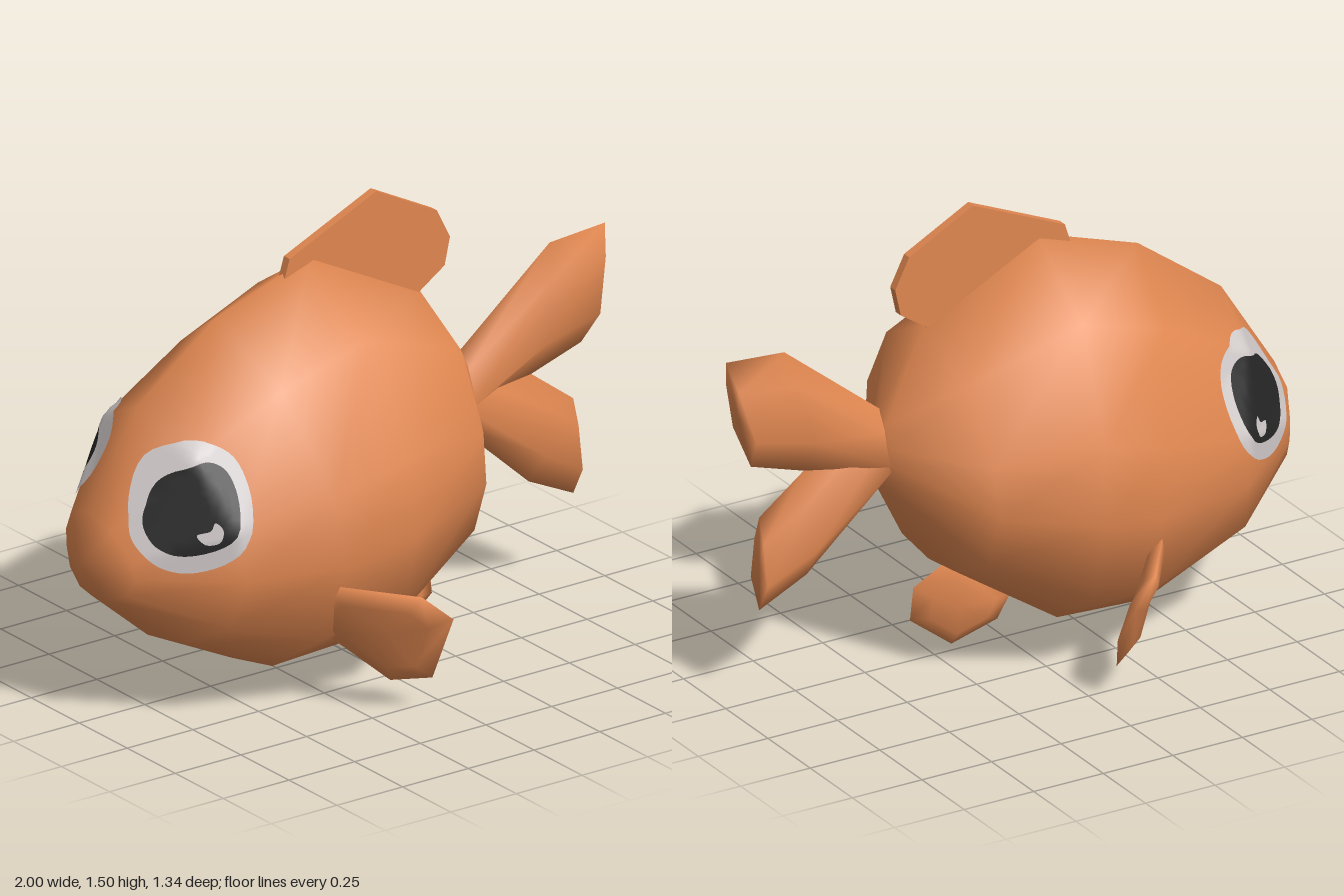
import * as THREE from 'three';
import { mergeVertices } from 'three/addons/utils/BufferGeometryUtils.js';

const material = (name, color) => {
  const m = new THREE.MeshStandardMaterial({ color });
  m.name = name;
  return m;
};

// Smooth indexed geometry from Vector3 points and triangle indices
function smoothGeometry(points, index) {
  let g = new THREE.BufferGeometry().setFromPoints(points);
  g.setIndex(index);
  g = mergeVertices(g, 1e-5);
  g.computeVertexNormals();
  return g;
}

// Loft along +x. Profile: [width fraction, height fraction] from top to bottom.
// Section: [top x, top y, bottom x, bottom y, side x, half width].
function loft(sections, profile) {
  const ring = [...profile, ...profile.slice(1, -1).reverse().map(([z, f]) => [-z, f])];
  const n = ring.length, points = [], index = [];
  sections.forEach(([xt, yt, xb, yb, xs, w], i) => {
    for (const [z, f] of ring) {
      const x = xb + (xt - xb) * f + (xs - (xt + xb) / 2) * z * z;
      points.push(new THREE.Vector3(x, yb + (yt - yb) * f, z * w));
    }
    if (i === 0) return;
    for (let j = 0; j < n; j++) {
      const a = (i - 1) * n + j, b = (i - 1) * n + (j + 1) % n;
      index.push(a, b, a + n, b, b + n, a + n);
    }
  });
  return smoothGeometry(points, index);
}

// Lens-shaped fin: a sharp rim with a raised inner loop on both faces
function lensFin(coords, thickness) {
  const rim = coords.map(p => new THREE.Vector3(...p)), n = rim.length;
  const centre = rim.reduce((s, p) => s.add(p), new THREE.Vector3()).divideScalar(n);
  const normal = new THREE.Vector3();
  rim.forEach((p, i) => normal.add(
    p.clone().sub(centre).cross(rim[(i + 1) % n].clone().sub(centre))));
  normal.normalize();
  const points = [...rim], index = [];
  for (const s of [1, -1]) {
    const start = points.length;
    rim.forEach(p => points.push(p.clone().lerp(centre, 0.35).addScaledVector(normal, s * thickness)));
    points.push(centre.clone().addScaledVector(normal, s * thickness));
    for (let i = 0; i < n; i++) {
      const j = (i + 1) % n, a = start + i, b = start + j;
      const tris = [[i, j, b], [i, b, a], [a, b, start + n]];
      tris.forEach(t => index.push(...(s > 0 ? t : t.reverse())));
    }
  }
  return smoothGeometry(points, index);
}

// Closed smooth outline sampled in the x-y plane
const outline = pts => new THREE.CatmullRomCurve3(
  pts.map(([x, y]) => new THREE.Vector3(x, y, 0)), true).getPoints(48).slice(0, 48);

// Thin patch between two outlines, laid onto the body from one side
function surfacePatch(body, outer, inner, side, lift) {
  const n = outer.length, steps = 6, points = [], index = [];
  const centre = outer.reduce((s, p) => s.add(p), new THREE.Vector3()).divideScalar(n);
  const ray = new THREE.Raycaster();
  for (let k = 0; k <= steps; k++) {
    for (let i = 0; i < n; i++) {
      const p = (inner ? inner[i] : centre).clone().lerp(outer[i], k / steps);
      p.z = 2 * side;
      ray.set(p, new THREE.Vector3(0, 0, -side));
      const hit = ray.intersectObject(body)[0];
      if (hit) p.copy(hit.point).addScaledVector(hit.face.normal, lift);
      else p.z = 0;
      points.push(p);
      if (k === 0) continue;
      const j = (i + 1) % n, a = (k - 1) * n + i, b = (k - 1) * n + j;
      const tris = [[a, a + n, b + n], [a, b + n, b]];
      tris.forEach(t => index.push(...(side > 0 ? t : t.reverse())));
    }
  }
  return smoothGeometry(points, index);
}

export function createModel() {
  const group = new THREE.Group();
  const orange = material('orange scales', 0xe08750);
  const white = material('eye white', 0xd0cac9);
  const black = material('pupil black', 0x262626);
  const add = (name, geometry, mat) => {
    const mesh = new THREE.Mesh(geometry, mat);
    mesh.name = name;
    group.add(mesh);
    return mesh;
  };

  // Body, nose to tail root
  const body = add('body', loft([
    [-1, 0.53, -1, 0.53, -1, 0],
    [-0.97, 0.70, -0.95, 0.41, -0.92, 0.18],
    [-0.78, 1.00, -0.74, 0.23, -0.65, 0.39],
    [-0.48, 1.22, -0.42, 0.075, -0.31, 0.44],
    [-0.12, 1.34, -0.07, 0.10, -0.08, 0.49],
    [0.29, 1.13, 0.27, 0.33, 0.26, 0.40],
    [0.45, 0.88, 0.45, 0.63, 0.45, 0.07],
    [0.47, 0.76, 0.47, 0.76, 0.47, 0],
  ], [[0, 1], [0.59, 0.847], [0.94, 0.565], [1, 0.363], [0.84, 0.145], [0.41, 0.024], [0, 0]]), orange);

  // Forked tail
  const lobeProfile = [[0, 1], [0.55, 0.75], [1, 0.3], [0, 0]];
  add('upperTailLobe', loft([
    [0.43, 0.87, 0.43, 0.64, 0.43, 0.07],
    [0.79, 1.16, 0.72, 0.74, 0.74, 0.08],
    [1.0, 1.175, 0.91, 0.80, 0.95, 0.07],
    [0.955, 0.98, 0.955, 0.98, 0.955, 0],
  ], lobeProfile), orange);
  add('lowerTailLobe', loft([
    [0.43, 0.87, 0.43, 0.64, 0.43, 0.07],
    [0.72, 0.74, 0.71, 0.385, 0.72, 0.075],
    [0.88, 0.62, 0.88, 0.305, 0.88, 0.05],
    [0.88, 0.46, 0.88, 0.46, 0.88, 0],
  ], lobeProfile), orange);

  // Flat dorsal fin
  const dorsal = new THREE.Shape([
    [-0.24, 1.26], [0.25, 1.08], [0.29, 1.13], [0.38, 1.19], [0.40, 1.28],
    [0.35, 1.38], [0.12, 1.5], [-0.21, 1.355],
  ].map(p => new THREE.Vector2(...p)));
  add('dorsalFin', new THREE.ExtrudeGeometry(dorsal, { depth: 0.03, bevelEnabled: false })
    .translate(0, 0, -0.015), orange);

  // Belly fin, leaning slightly to one side
  add('bellyFin', lensFin([
    [-0.04, 0.14, 0.02], [0.0, 0.045, 0.04], [0.165, 0, 0.04],
    [0.32, 0.12, 0.03], [0.32, 0.24, 0.01], [0.2, 0.31, 0],
  ], 0.028), orange);

  // Pectoral fins and eyes on both sides
  const whiteEdge = outline([[-0.913, 0.67], [-0.905, 0.615], [-0.86, 0.56], [-0.79, 0.54], [-0.69, 0.575],
    [-0.62, 0.66], [-0.595, 0.80], [-0.62, 0.89], [-0.70, 0.93], [-0.80, 0.89], [-0.88, 0.77]]);
  const pupilEdge = outline([[-0.88, 0.68], [-0.86, 0.62], [-0.80, 0.595], [-0.68, 0.64],
    [-0.635, 0.76], [-0.65, 0.85], [-0.70, 0.875], [-0.80, 0.83], [-0.86, 0.75]]);
  const glintEdge = outline([[-0.76, 0.66], [-0.745, 0.635], [-0.71, 0.64],
    [-0.695, 0.68], [-0.71, 0.70], [-0.725, 0.675]]);
  for (const side of [1, -1]) {
    const label = side > 0 ? 'left' : 'right';
    add(label + 'PectoralFin', lensFin([
      [-0.35, 0.425, 0.37], [-0.16, 0.425, 0.635], [-0.065, 0.34, 0.67],
      [-0.065, 0.11, 0.56], [-0.16, 0.095, 0.47], [-0.34, 0.27, 0.31],
    ].map(([x, y, z]) => [x, y, z * side]), 0.025), orange);
    add(label + 'EyeWhite', surfacePatch(body, whiteEdge, pupilEdge, side, 0.006), white);
    add(label + 'Pupil', surfacePatch(body, pupilEdge, null, side, 0.006), black);
    add(label + 'EyeGlint', surfacePatch(body, glintEdge, null, side, 0.009), white);
  }
  return group;
}
